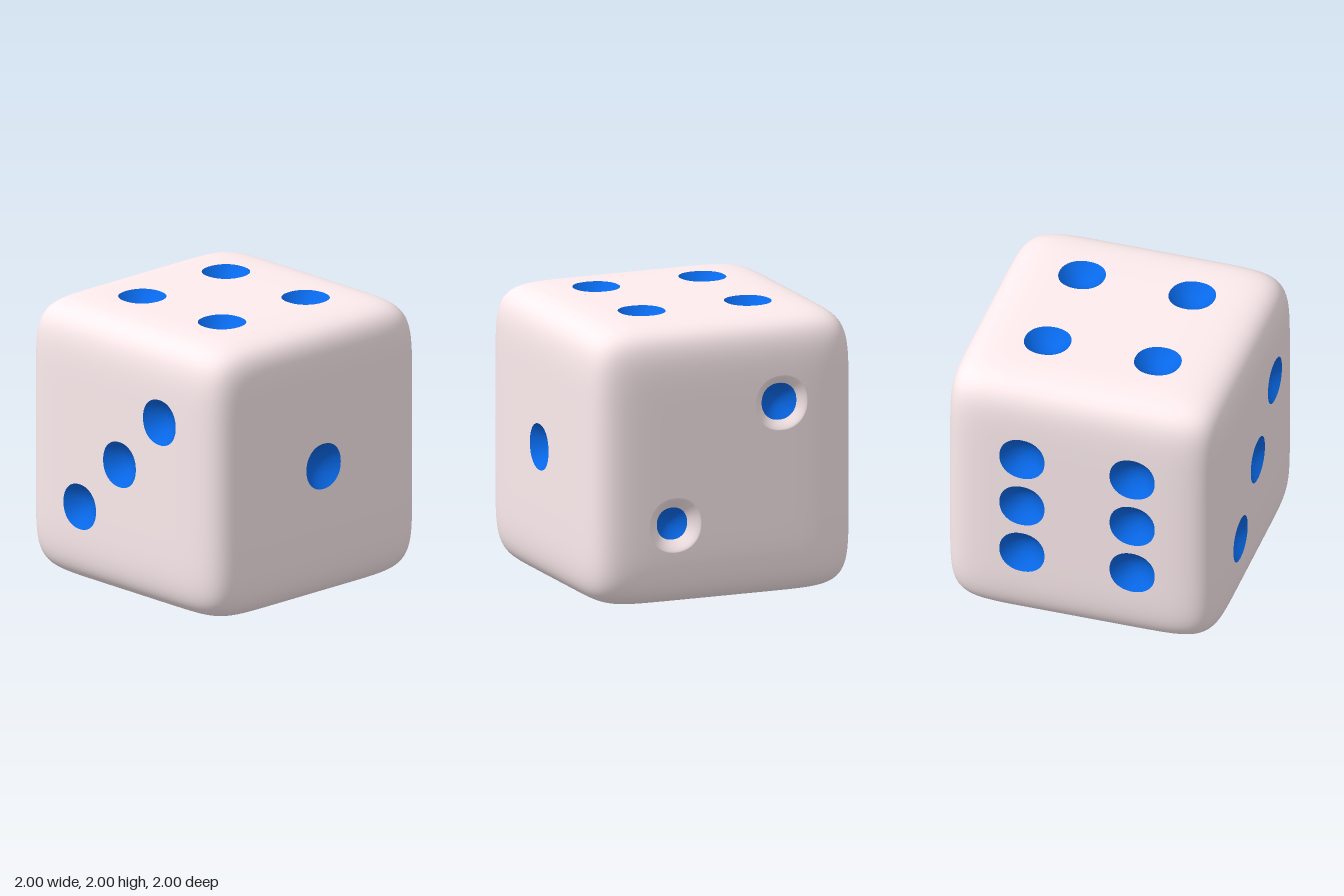
import * as THREE from 'three';
import { ParametricGeometry } from 'three/addons/geometries/ParametricGeometry.js';
import { mergeGeometries } from 'three/addons/utils/BufferGeometryUtils.js';

const BODY_POWER = 8.5;  // squareness of the body
const PIP_POWER = 2.15;  // squareness of the pip outline
const CELL = 0.2;        // half width of a pip cell

// Pip shapes: half width, depth, rim softness and painted fraction
const normalPip = { half: 0.164, depth: 0.09, soft: 1, painted: 1 };
const widePip = { half: 0.197, depth: 0.12, soft: 1.5, painted: 0.665 };
const narrowPip = { ...widePip, painted: 0.58 };

const V = (x, y, z) => new THREE.Vector3(x, y, z);

// Outward normal, two in-plane axes, and pips as [a, b, shape]
const faces = [
  { name: 'front', n: V(0, 0, 1), u: V(1, 0, 0), v: V(0, 1, 0), pips: [[0, 0]] },
  { name: 'left', n: V(1, 0, 0), u: V(0, 0, -1), v: V(0, 1, 0),
    pips: [[0.4, 0.4, widePip], [-0.4, -0.4, narrowPip]] },
  { name: 'right', n: V(-1, 0, 0), u: V(0, 0, 1), v: V(0, 1, 0),
    pips: [[0.4, 0.4], [0, 0], [-0.4, -0.4]] },
  { name: 'top', n: V(0, 1, 0), u: V(1, 0, 0), v: V(0, 0, -1),
    pips: [[0.4, 0.4], [0.4, -0.4], [-0.4, 0.4], [-0.4, -0.4]] },
  { name: 'bottom', n: V(0, -1, 0), u: V(1, 0, 0), v: V(0, 0, 1),
    pips: [[0, 0], [0.4, 0.4], [0.4, -0.4], [-0.4, 0.4], [-0.4, -0.4]] },
  { name: 'back', n: V(0, 0, -1), u: V(-1, 0, 0), v: V(0, 1, 0),
    pips: [[0.4, 0.4], [0.4, 0], [0.4, -0.4], [-0.4, 0.4], [-0.4, 0], [-0.4, -0.4]] },
];

// Put face coordinates on the rounded cube, sunk by depth
function place(face, a, b, depth, target) {
  const size = (1 + Math.abs(a) ** BODY_POWER + Math.abs(b) ** BODY_POWER) ** (1 / BODY_POWER);
  target.copy(face.n).addScaledVector(face.u, a).addScaledVector(face.v, b)
    .divideScalar(size).addScaledVector(face.n, -depth);
  target.y += 1;
}

// Plain square patch of a face
function plainCell(face, a, b) {
  return new ParametricGeometry((s, t, target) =>
    place(face, a + (2 * s - 1) * CELL, b + (2 * t - 1) * CELL, 0, target), 14, 14);
}

// Direction at turn s, with the reach of the pip outline and of the cell square
function outline(s) {
  const x = Math.cos(s * Math.PI * 2), y = Math.sin(s * Math.PI * 2);
  const round = (Math.abs(x) ** PIP_POWER + Math.abs(y) ** PIP_POWER) ** (-1 / PIP_POWER);
  return { x, y, round, square: 1 / Math.max(Math.abs(x), Math.abs(y)) };
}

// Square patch with a pip-shaped opening
function holedCell(face, a, b, shape) {
  return new ParametricGeometry((s, t, target) => {
    const o = outline(s);
    const r = THREE.MathUtils.lerp(CELL * o.square, shape.half * o.round, t);
    place(face, a + o.x * r, b + o.y * r, 0, target);
  }, 64, 4);
}

// Ring of a bowl between two fractions of its width
function bowl(face, a, b, shape, outer, inner) {
  return new ParametricGeometry((s, t, target) => {
    const o = outline(s);
    const rho = THREE.MathUtils.lerp(outer, inner, t);
    const r = shape.half * o.round * rho;
    place(face, a + o.x * r, b + o.y * r, shape.depth * (1 - rho * rho) ** shape.soft, target);
  }, 64, 12);
}

export function createModel() {
  const group = new THREE.Group();
  group.name = 'die';
  const bodyMaterial = new THREE.MeshStandardMaterial({ color: 0xfdecee });
  const pipMaterial = new THREE.MeshStandardMaterial({ color: 0x0868e8 });
  const grid = [-0.8, -0.4, 0, 0.4, 0.8];

  for (const face of faces) {
    const body = [], paint = [];
    for (const a of grid) for (const b of grid) {
      const pip = face.pips.find((p) => p[0] === a && p[1] === b);
      if (!pip) {
        body.push(plainCell(face, a, b));
        continue;
      }
      const shape = pip[2] ?? normalPip;
      body.push(holedCell(face, a, b, shape));
      // Unpainted rim of the wider pips
      if (shape.painted < 1) body.push(bowl(face, a, b, shape, 1, shape.painted));
      paint.push(bowl(face, a, b, shape, shape.painted, 0.001));
    }
    const side = new THREE.Mesh(mergeGeometries(body), bodyMaterial);
    side.name = face.name + 'Face';
    const pips = new THREE.Mesh(mergeGeometries(paint), pipMaterial);
    pips.name = face.name + 'Pips';
    group.add(side, pips);
  }
  return group;
}
